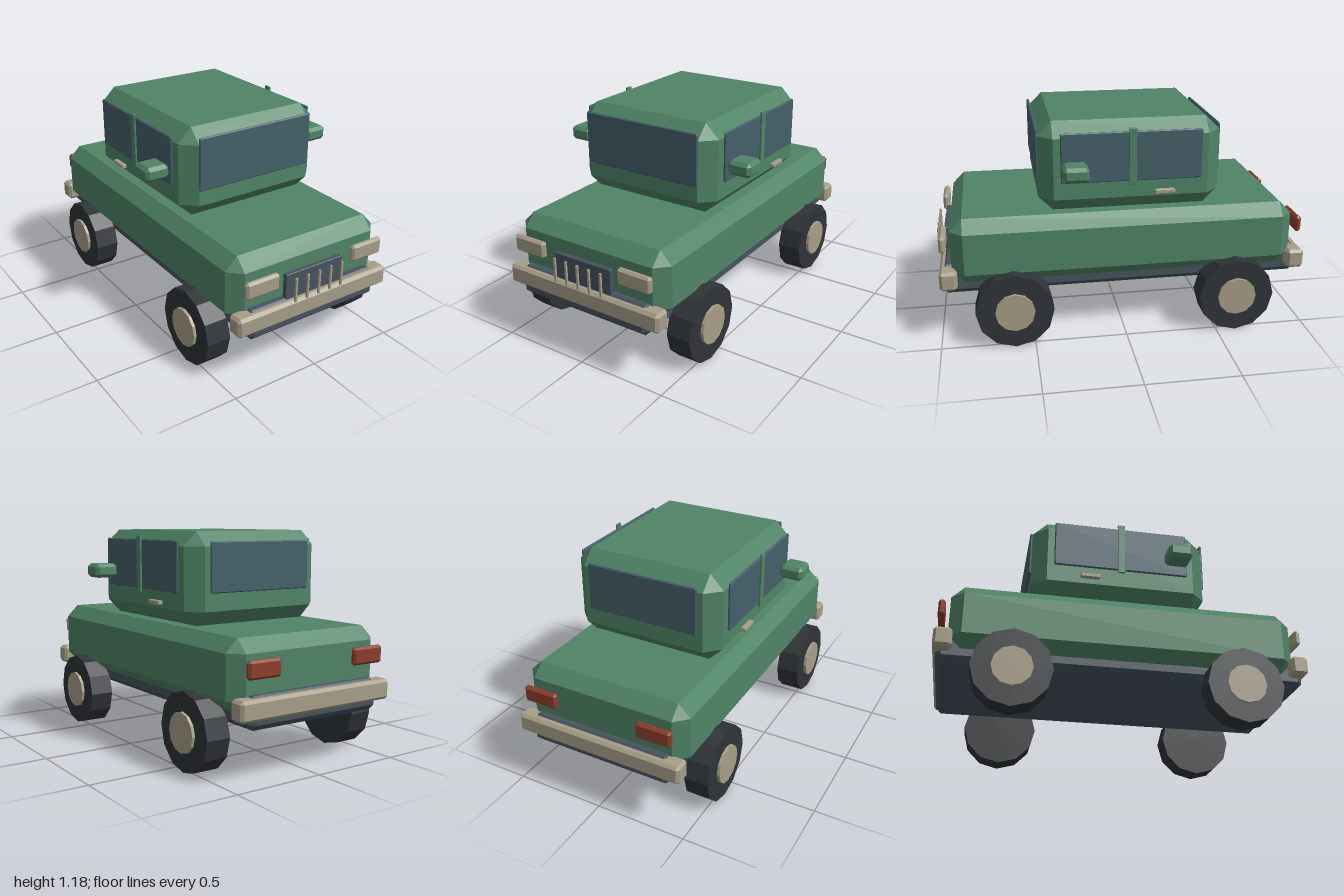
import * as THREE from 'three';
import { ConvexGeometry } from 'three/addons/geometries/ConvexGeometry.js';

const paint = (color) => new THREE.MeshStandardMaterial({ color, flatShading: true });
const green = paint(0x4f8466);
const slate = paint(0x46535d);
const glass = paint(0x456069);
const trim = paint(0xa79e88);
const rubber = paint(0x2f3437);
const red = paint(0x8c3d2c);

// Box with every edge cut at 45 degrees, given by its [min, max] ranges
function chamferBox(x, y, z, c) {
  const half = [x, y, z].map(([a, b]) => (b - a) / 2);
  const mid = [x, y, z].map(([a, b]) => (a + b) / 2);
  const points = [];
  for (const sx of [-1, 1]) for (const sy of [-1, 1]) for (const sz of [-1, 1]) {
    for (let outer = 0; outer < 3; outer++) {
      const p = [sx, sy, sz].map((s, i) => s * (half[i] - (i === outer ? 0 : c)));
      points.push(new THREE.Vector3(...p));
    }
  }
  return new ConvexGeometry(points).translate(...mid);
}

export function createModel() {
  const model = new THREE.Group();
  model.name = 'car';

  const add = (name, geometry, material) => {
    const mesh = new THREE.Mesh(geometry, material);
    mesh.name = name;
    model.add(mesh);
    return mesh;
  };
  const block = (name, material, x, y, z, c) => add(name, chamferBox(x, y, z, c), material);
  // The same block on the left (+x) and right (-x)
  const pair = (name, material, x, y, z, c) => {
    block(name + 'Left', material, x, y, z, c);
    block(name + 'Right', material, [-x[1], -x[0]], y, z, c);
  };

  // Main shells
  block('chassis', slate, [-0.408, 0.408], [0.27, 0.434], [-0.985, 0.98], 0.03);
  block('body', green, [-0.47, 0.47], [0.335, 0.695], [-0.93, 0.922], 0.067);
  block('cabin', green, [-0.425, 0.425], [0.70, 1.182], [-0.518, 0.452], 0.077);

  // Bumpers
  block('frontBumper', trim, [-0.477, 0.477], [0.32, 0.425], [0.895, 0.987], 0.015);
  block('rearBumper', trim, [-0.477, 0.477], [0.32, 0.425], [-1, -0.905], 0.015);

  // Lamps
  pair('headlight', trim, [0.233, 0.43], [0.515, 0.605], [0.945, 0.98], 0.012);
  pair('taillight', red, [0.233, 0.428], [0.515, 0.605], [-0.99, -0.955], 0.012);

  // Grille and its upright bars
  block('grille', slate, [-0.178, 0.178], [0.40, 0.565], [0.93, 0.957], 0.003);
  for (let i = -2; i <= 2; i++) {
    const x = i * 0.073;
    block('grilleBar', trim, [x - 0.006, x + 0.006], [0.425, 0.557], [0.988, 1], 0.001);
  }

  // Windows
  block('windshield', glass, [-0.35, 0.35], [0.86, 1.145], [0.446, 0.461], 0.005);
  block('rearWindow', glass, [-0.318, 0.318], [0.87, 1.13], [-0.532, -0.516], 0.005);
  pair('sideWindow', glass, [0.43, 0.445], [0.87, 1.135], [-0.405, 0.338], 0.005);
  pair('windowPillar', green, [0.443, 0.455], [0.85, 1.155], [-0.055, -0.015], 0.002);

  // Door handles and mirrors
  pair('doorHandle', trim, [0.438, 0.465], [0.798, 0.82], [-0.26, -0.155], 0.003);
  pair('mirror', green, [0.45, 0.583], [0.915, 0.992], [0.205, 0.338], 0.018);

  // Twelve-sided wheels with hubs on the outside
  const tire = new THREE.CylinderGeometry(0.207, 0.207, 0.133, 12).rotateZ(Math.PI / 2);
  const hub = new THREE.CylinderGeometry(0.105, 0.105, 0.06, 12).rotateZ(Math.PI / 2);
  for (const side of [-1, 1]) for (const end of [-1, 1]) {
    const z = end * 0.603;
    add('tire', tire, rubber).position.set(side * 0.469, 0.207, z);
    add('hub', hub, trim).position.set(side * 0.522, 0.207, z);
  }

  return model;
}
